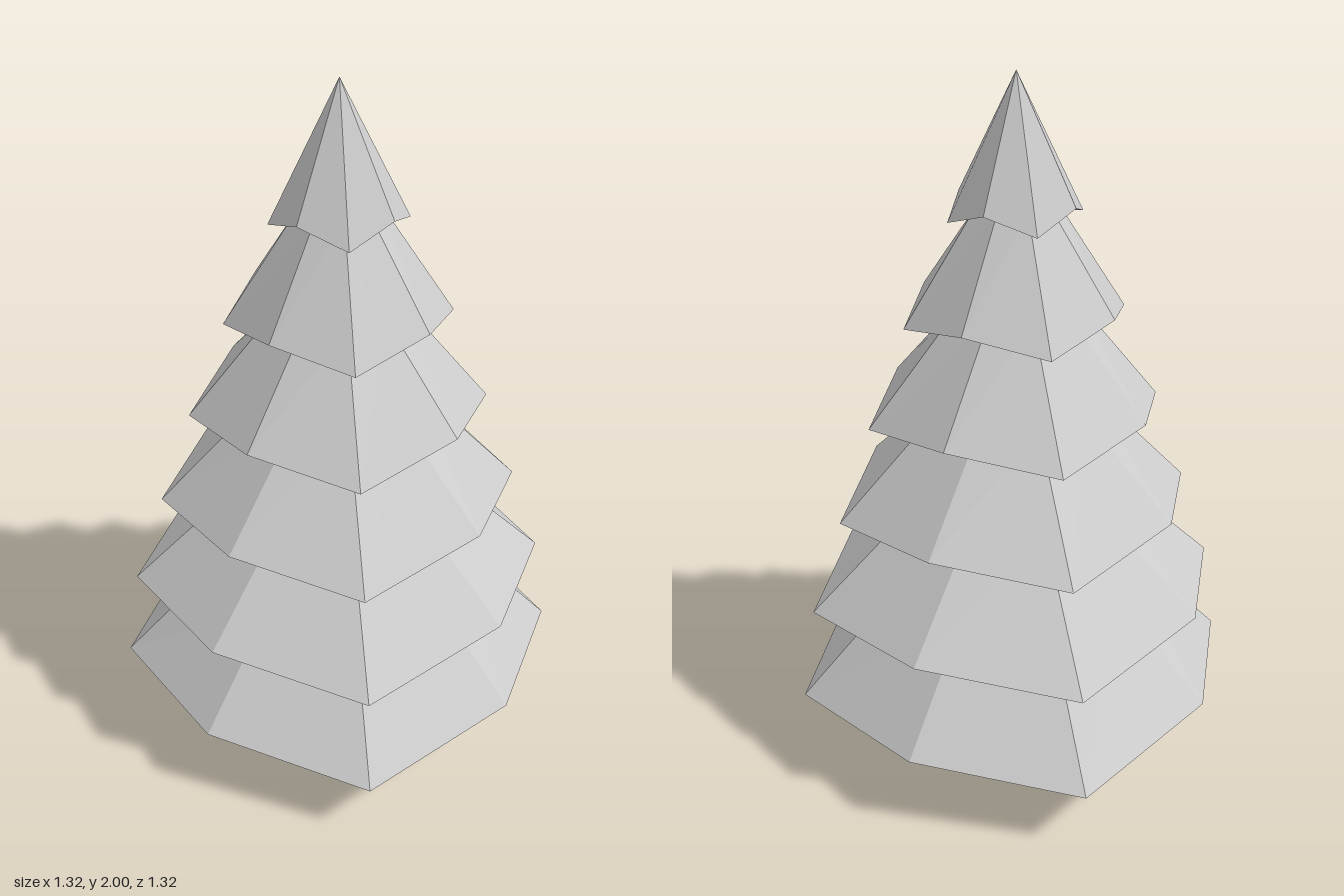
import * as THREE from 'three';

const SIDES = 8;
const material = new THREE.MeshStandardMaterial({ color: 0xcccccc, flatShading: true });

// One ring of eight points; every second corner can be pulled in and lifted.
function ring(radius, y, diagonal = 1, lift = 0) {
  return Array.from({ length: SIDES }, (_, i) => {
    const a = (i / SIDES) * Math.PI * 2;
    const r = i % 2 ? radius * diagonal : radius;
    return [Math.sin(a) * r, y + (i % 2 ? lift : 0), Math.cos(a) * r];
  });
}

// Skin a stack of rings, listed from the bottom centre upwards.
function loft(rings) {
  const positions = rings.flat(2);
  const index = [];
  for (let k = 0; k < rings.length - 1; k++) {
    for (let i = 0; i < SIDES; i++) {
      const j = (i + 1) % SIDES;
      const a = k * SIDES + i, b = k * SIDES + j;
      const d = a + SIDES, c = b + SIDES;
      index.push(a, b, c, a, c, d);
    }
  }
  const geometry = new THREE.BufferGeometry();
  geometry.setAttribute('position', new THREE.Float32BufferAttribute(positions, 3));
  geometry.setIndex(index);
  const flat = geometry.toNonIndexed();
  flat.computeVertexNormals();
  return flat;
}

// Rim height, rim radius, and the radius where the next tier covers this one
const TIERS = [
  [0.185, 0.662, 0.355],
  [0.474, 0.617, 0.28],
  [0.759, 0.522, 0.215],
  [1.044, 0.425, 0.163],
  [1.33, 0.316, 0.105],
  [1.616, 0.188, 0],
];

export function createModel() {
  const tree = new THREE.Group();
  tree.name = 'pineTree';

  // Trunk, slightly off centre
  const trunk = new THREE.Mesh(new THREE.CylinderGeometry(0.144, 0.148, 0.25, SIDES), material);
  trunk.name = 'trunk';
  trunk.position.set(-0.007, 0.125, -0.016);
  tree.add(trunk);

  // Branch tiers with drooping tips and a hollowed underside
  TIERS.forEach(([y, radius, topRadius], i) => {
    const last = i === TIERS.length - 1;
    const topY = last ? 2 : TIERS[i + 1][0] + 0.045;
    const foliage = new THREE.Mesh(loft([
      ring(0, y + 0.04),
      ring(radius * 0.66, y + 0.038, 0.95),
      ring(radius, y, 0.935, 0.048),
      ring(topRadius, topY, 0.935),
      ring(0, topY),
    ]), material);
    foliage.name = `branchTier${i + 1}`;
    tree.add(foliage);
  });

  return tree;
}
